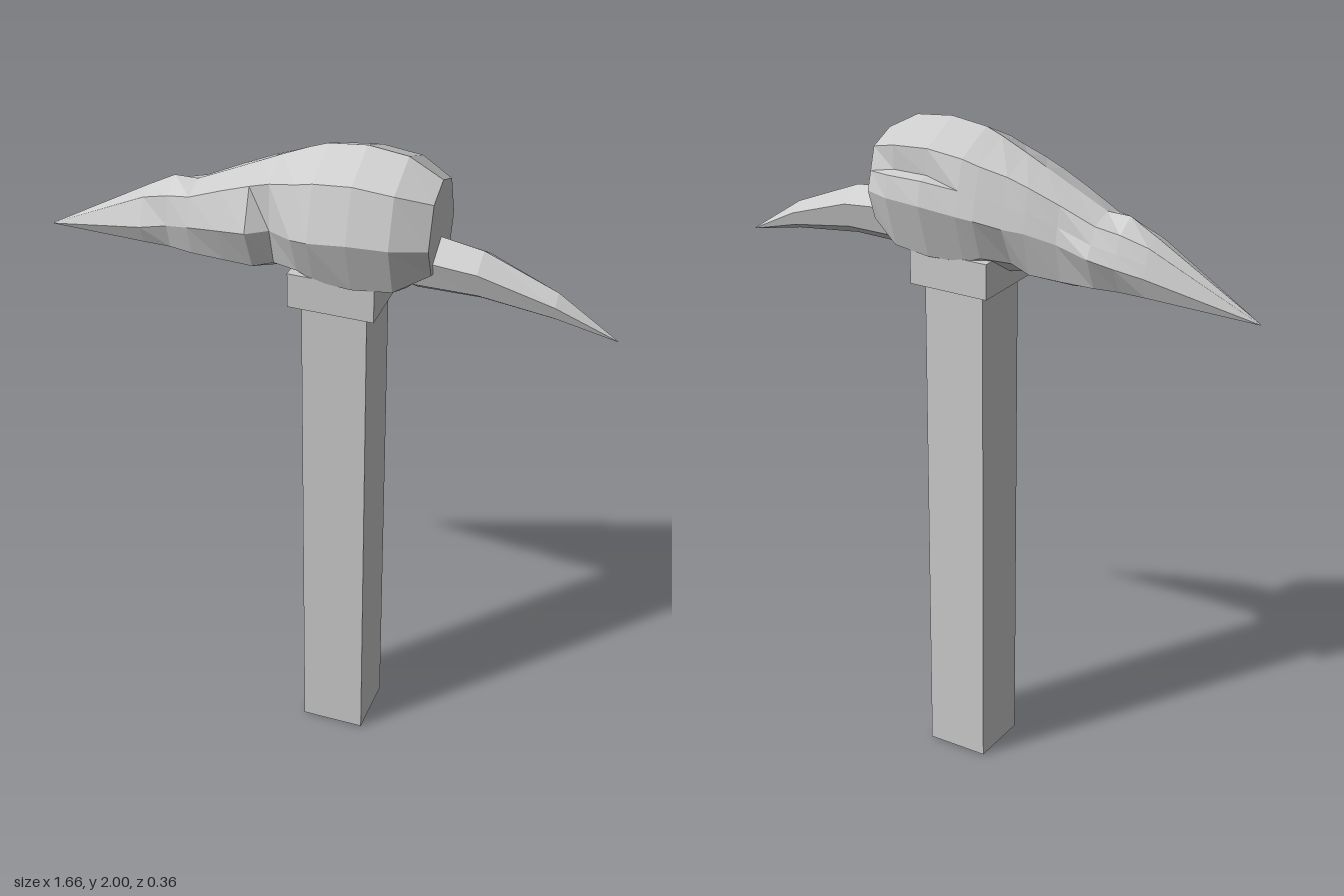
import * as THREE from 'three';

// Skin a list of equal-length rings; rings advance along +x, points run top, front, bottom, back
function loft(rings) {
  const n = rings[0].length, out = [];
  const tri = (a, b, c) => out.push(...a, ...b, ...c);
  for (let i = 0; i < rings.length - 1; i++) {
    for (let j = 0; j < n; j++) {
      const k = (j + 1) % n, p = rings[i], q = rings[i + 1];
      tri(p[j], p[k], q[k]);
      tri(p[j], q[k], q[j]);
    }
  }
  const first = rings[0], last = rings[rings.length - 1];
  for (let j = 1; j < n - 1; j++) {
    tri(first[0], first[j + 1], first[j]);
    tri(last[0], last[j], last[j + 1]);
  }
  const g = new THREE.BufferGeometry();
  g.setAttribute('position', new THREE.Float32BufferAttribute(out, 3));
  g.computeVertexNormals();
  return g;
}

// Faceted head ring; a small ledge is cut into the back of the block
function headRing([x, top, upY, upZ, midY, midZ, backZ, lowY, bottom]) {
  const lowZ = Math.min(midZ, backZ) * 0.73;
  const ledge = x > 0.05 && x < 0.3 ? 0.025 : 0;
  const y = midY + (upY - midY) * 0.45;
  const z = backZ + (upZ - backZ) * 0.45;
  return [
    [x, top, 0], [x, upY, upZ], [x, midY, midZ], [x, lowY, lowZ], [x, bottom, 0],
    [x, lowY, -lowZ], [x, midY, -backZ], [x, y, -z - ledge * 0.3],
    [x, y + ledge * 0.3, -z + ledge], [x, upY, -upZ],
  ];
}

// Symmetrical six-sided ring of the thin spike
function spikeRing([x, top, sideY, sideZ, bottom]) {
  const lowY = bottom + (sideY - bottom) * 0.3, lowZ = sideZ * 0.7;
  return [
    [x, top, 0], [x, sideY, sideZ], [x, lowY, lowZ],
    [x, bottom, 0], [x, lowY, -lowZ], [x, sideY, -sideZ],
  ];
}

export function createModel() {
  const group = new THREE.Group();
  const grey = new THREE.MeshStandardMaterial({ color: 0xcccccc });
  grey.name = 'plain grey';
  grey.flatShading = true;

  const add = (name, geometry, y = 0) => {
    const mesh = new THREE.Mesh(geometry, grey);
    mesh.name = name;
    mesh.position.y = y;
    group.add(mesh);
  };

  // Square handle and the collar under the head
  add('handle', new THREE.BoxGeometry(0.19, 1.56, 0.19).translate(0.06, 0, 0), 0.78);
  add('collar', new THREE.BoxGeometry(0.25, 0.105, 0.25).translate(0.06, 0, 0), 1.5875);

  // Head: long beak towards -x, bulky block over the handle
  // x, top, upper y/z, middle y, front z, back z, lower y, bottom
  const head = [
    [-0.83, 1.587, 1.586, 0.001, 1.585, 0.002, 0.002, 1.584, 1.583],
    [-0.52, 1.768, 1.75, 0.046, 1.672, 0.08, 0.073, 1.612, 1.598],
    [-0.44, 1.812, 1.775, 0.058, 1.69, 0.076, 0.093, 1.613, 1.595],
    [-0.37, 1.813, 1.79, 0.07, 1.708, 0.095, 0.11, 1.614, 1.59],
    [-0.27, 1.86, 1.835, 0.085, 1.73, 0.12, 0.104, 1.615, 1.58],
    [-0.18, 1.903, 1.872, 0.098, 1.75, 0.144, 0.124, 1.622, 1.605],
    [-0.12, 1.932, 1.893, 0.105, 1.755, 0.112, 0.138, 1.64, 1.592],
    [-0.04, 1.968, 1.913, 0.12, 1.77, 0.165, 0.158, 1.65, 1.578],
    [0.01, 1.987, 1.928, 0.127, 1.776, 0.177, 0.167, 1.632, 1.575],
    [0.12, 2, 1.94, 0.13, 1.79, 0.18, 0.182, 1.63, 1.572],
    [0.235, 1.987, 1.93, 0.125, 1.79, 0.168, 0.168, 1.64, 1.585],
    [0.33, 1.935, 1.9, 0.08, 1.78, 0.118, 0.115, 1.69, 1.67],
  ];
  add('head', loft(head.map(headRing)));

  // Curved spike on the opposite side: x, top, side y/z, bottom
  const spike = [
    [0.27, 1.775, 1.725, 0.078, 1.597],
    [0.45, 1.745, 1.704, 0.065, 1.6],
    [0.66, 1.658, 1.63, 0.035, 1.575],
    [0.83, 1.543, 1.542, 0.001, 1.54],
  ];
  add('spike', loft(spike.map(spikeRing)));

  return group;
}
